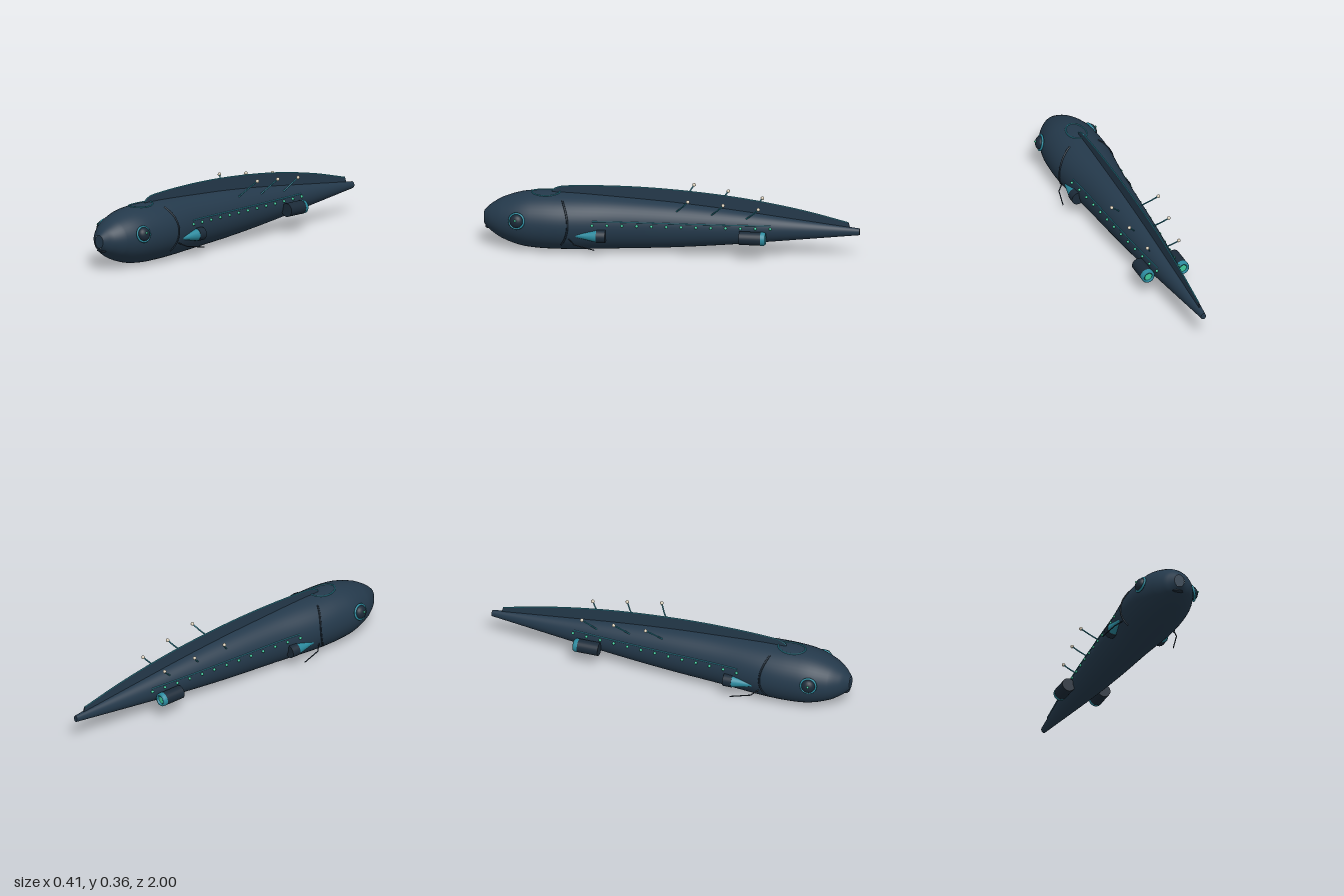
import * as THREE from 'three';

const mat = (name, color) => Object.assign(new THREE.MeshStandardMaterial({ color }), { name });
const CY = 0.157;
// hull stations from nose to tail: z, half width, half height
const STATIONS = [
  [1, 0.028, 0.035], [0.985, 0.046, 0.052], [0.96, 0.075, 0.074], [0.9, 0.115, 0.11], [0.8, 0.149, 0.143],
  [0.7, 0.159, 0.154], [0.6, 0.16, 0.155], [0.5, 0.152, 0.153], [0.3, 0.128, 0.143],
  [0, 0.107, 0.125], [-0.3, 0.084, 0.098], [-0.6, 0.055, 0.064], [-1, 0.014, 0.018],
];

// smooth interpolation of a station column at z
function hull(z, col) {
  const S = STATIONS, n = S.length;
  let i = 0;
  while (i < n - 2 && z < S[i + 1][0]) i++;
  const slope = k => {
    const a = S[Math.max(k - 1, 0)], b = S[Math.min(k + 1, n - 1)];
    return (b[col] - a[col]) / (b[0] - a[0]);
  };
  const h = S[i + 1][0] - S[i][0], t = (z - S[i][0]) / h, t2 = t * t, t3 = t2 * t;
  return (2 * t3 - 3 * t2 + 1) * S[i][col] + (t3 - 2 * t2 + t) * h * slope(i)
    + (3 * t2 - 2 * t3) * S[i + 1][col] + (t3 - t2) * h * slope(i + 1);
}
// point on the hull at a height, on side s
function onHull(s, y, z, lift = 0) {
  const sin = THREE.MathUtils.clamp((y - CY) / hull(z, 2), -1, 1);
  return new THREE.Vector3(s * (hull(z, 1) * Math.sqrt(1 - sin * sin) + lift), y, z);
}

function hullGeometry() {
  const pos = [], idx = [], seg = 48;
  const zs = [];
  for (let i = 0; i < 12; i++) zs.push(1 - 0.1 * (i / 12));
  for (let i = 0; i <= 60; i++) zs.push(0.9 - 1.9 * (i / 60));
  zs.forEach((z, i) => {
    for (let j = 0; j < seg; j++) {
      const a = (j / seg) * Math.PI * 2;
      pos.push(Math.cos(a) * hull(z, 1), CY + Math.sin(a) * hull(z, 2), z);
      if (i === zs.length - 1) continue;
      const p = i * seg + j, q = i * seg + ((j + 1) % seg);
      idx.push(p, p + seg, q, q, p + seg, q + seg);
    }
  });
  const g = new THREE.BufferGeometry();
  g.setAttribute('position', new THREE.Float32BufferAttribute(pos, 3));
  g.setIndex(idx);
  g.computeVertexNormals();
  return g;
}

export function createModel() {
  const root = new THREE.Group();
  root.name = 'submarine';
  const navy = mat('navy hull', 0x24394b);
  const dark = mat('dark metal', 0x1b2a38);
  const teal = mat('teal trim', 0x2b8a9e);
  const glow = mat('green glow', 0x3fc99c);
  const cream = mat('cream', 0xd8cdb8);

  const add = (name, geo, m, parent = root) => {
    const mesh = new THREE.Mesh(geo, m);
    mesh.name = name;
    parent.add(mesh);
    return mesh;
  };
  const tube = (name, pts, r, m, closed = false, n = 48) =>
    add(name, new THREE.TubeGeometry(new THREE.CatmullRomCurve3(pts, closed), n, r, 8, closed), m);
  const ball = (name, p, r, m) => {
    const b = add(name, new THREE.SphereGeometry(r, 16, 12), m);
    b.position.copy(p);
    return b;
  };

  // hull with flat nose and tail plates
  add('hull', hullGeometry(), navy);
  const nose = add('nosePlate', new THREE.CircleGeometry(1, 32), navy);
  nose.scale.set(0.028, 0.035, 1);
  nose.position.set(0, CY, 1);
  const tail = add('tailPlate', new THREE.CircleGeometry(1, 32), navy);
  tail.scale.set(0.014, 0.018, 1);
  tail.rotation.y = Math.PI;
  tail.position.set(0, CY, -1);
  const mouth = add('mouth', new THREE.SphereGeometry(1, 24, 12), dark);
  mouth.scale.set(0.03, 0.007, 0.015);
  mouth.position.set(0, 0.105, 0.98);

  // dorsal fin and its rim
  const ridge = [[0.64, 0.318], [0.61, 0.338], [0.5, 0.35], [0.2, 0.356], [-0.1, 0.343], [-0.4, 0.313],
    [-0.7, 0.262], [-0.94, 0.205]].map(([z, y]) => new THREE.Vector3(0, y, z));
  const ridgeCurve = new THREE.CatmullRomCurve3(ridge);
  const outline = ridgeCurve.getPoints(48).map(p => new THREE.Vector2(p.z, p.y));
  for (let i = 0; i <= 24; i++) {
    const z = -0.95 + 1.59 * (i / 24);
    outline.push(new THREE.Vector2(z, CY + hull(z, 2) - 0.01));
  }
  const fin = new THREE.ExtrudeGeometry(new THREE.Shape(outline), { depth: 0.006, bevelEnabled: false });
  fin.rotateY(-Math.PI / 2).translate(0.003, 0, 0);
  add('dorsalFin', fin, navy);
  tube('finRim', ridge, 0.0036, teal, false, 64);

  // hatch ring draped over the back
  const ring = [];
  for (let i = 0; i < 24; i++) {
    const a = (i / 24) * Math.PI * 2, x = 0.052 * Math.cos(a), z = 0.672 + 0.075 * Math.sin(a);
    ring.push(new THREE.Vector3(x, CY + hull(z, 2) * Math.sqrt(1 - (x / hull(z, 1)) ** 2) + 0.001, z));
  }
  tube('hatchRing', ring, 0.0035, teal, true, 72);

  for (const s of [1, -1]) {
    const side = s > 0 ? 'left' : 'right';

    // eye: trim ring, dark dome and glowing pupil
    const eye = new THREE.Group();
    eye.name = side + 'Eye';
    eye.position.set(s * 0.147, 0.19, 0.812);
    eye.quaternion.setFromUnitVectors(new THREE.Vector3(0, 0, 1), new THREE.Vector3(s * 0.95, 0.24, 0.18).normalize());
    root.add(eye);
    add('eyeRing', new THREE.TorusGeometry(0.04, 0.006, 10, 36), teal, eye);
    const dome = add('eyeDome', new THREE.SphereGeometry(1, 28, 16), dark, eye);
    dome.scale.set(0.037, 0.037, 0.027);
    ball(side + 'Pupil', new THREE.Vector3(s * 0.174, 0.2, 0.817), 0.006, glow);

    // gill seam
    const gill = [];
    for (let i = 0; i <= 14; i++) {
      const t = i / 7 - 1;
      gill.push(onHull(s, 0.175 + t * 0.115, 0.54 + 0.035 * t * t));
    }
    tube(side + 'Gill', gill, 0.005, dark);

    // bent whisker, straight in two pieces
    const w = [[0.1, 0.125, 0.58], [0.176, 0.08, 0.5], [0.2, 0.063, 0.39]].map(p => new THREE.Vector3(s * p[0], p[1], p[2]));
    tube(side + 'WhiskerRoot', [w[0], w[1]], 0.003, dark, false, 2);
    tube(side + 'WhiskerTip', [w[1], w[2]], 0.003, dark, false, 2);
    ball(side + 'WhiskerJoint', w[1], 0.003, dark);

    // forward pod: teal cone with dark collar
    const cone = add(side + 'PodCone', new THREE.ConeGeometry(0.033, 0.16, 28).rotateX(Math.PI / 2), teal);
    cone.position.set(s * 0.137, 0.12, 0.465);
    const collar = add(side + 'PodCollar', new THREE.CylinderGeometry(0.035, 0.035, 0.048, 28).rotateX(Math.PI / 2), dark);
    collar.position.set(s * 0.136, 0.12, 0.363);

    // rear engine: casing, nozzle ring and glowing core
    const engine = new THREE.Group();
    engine.name = side + 'Engine';
    engine.position.set(s * 0.1, 0.13, 0);
    root.add(engine);
    const casing = add('casing', new THREE.CylinderGeometry(0.036, 0.036, 0.115, 28).rotateX(Math.PI / 2), dark, engine);
    casing.position.z = -0.427;
    const nozzle = add('nozzle', new THREE.LatheGeometry(
      [[0.022, 0], [0.022, 0.022], [0.03, 0.026], [0.036, 0.018], [0.037, 0]].reverse().map(p => new THREE.Vector2(...p)), 28)
      .rotateX(-Math.PI / 2), teal, engine);
    nozzle.position.z = -0.484;
    teal.side = THREE.DoubleSide;
    const core = add('core', new THREE.CircleGeometry(0.023, 24).rotateY(Math.PI), glow, engine);
    core.position.z = -0.498;

    // row of lights under a trim line
    const line = [];
    for (let i = 0; i < 13; i++) {
      const z = 0.41 - i * 0.0783;
      ball(side + 'Light' + (i + 1), onHull(s, 0.18 - 0.006 * (i / 12), z, 0.003), 0.0075, glow);
      line.push(onHull(s, 0.2 - 0.012 * (i / 12), z));
    }
    tube(side + 'TrimLine', line, 0.003, teal);

    // swept antennae with ball tips
    [[0.135, 0.333, -0.1], [0.114, 0.313, -0.285], [0.091, 0.29, -0.47]].forEach(([x, y, z], i) => {
      const tip = new THREE.Vector3(s * x, y, z);
      const base = onHull(s, y - 0.083 + i * 0.006, z + 0.07, -0.004);
      const mid = base.clone().lerp(tip, 0.5).add(new THREE.Vector3(0, 0.004, -0.008));
      tube(side + 'Antenna' + (i + 1), [base, mid, tip], 0.0038, teal, false, 12);
      ball(side + 'AntennaTip' + (i + 1), tip, 0.0095, cream);
    });
  }
  return root;
}
